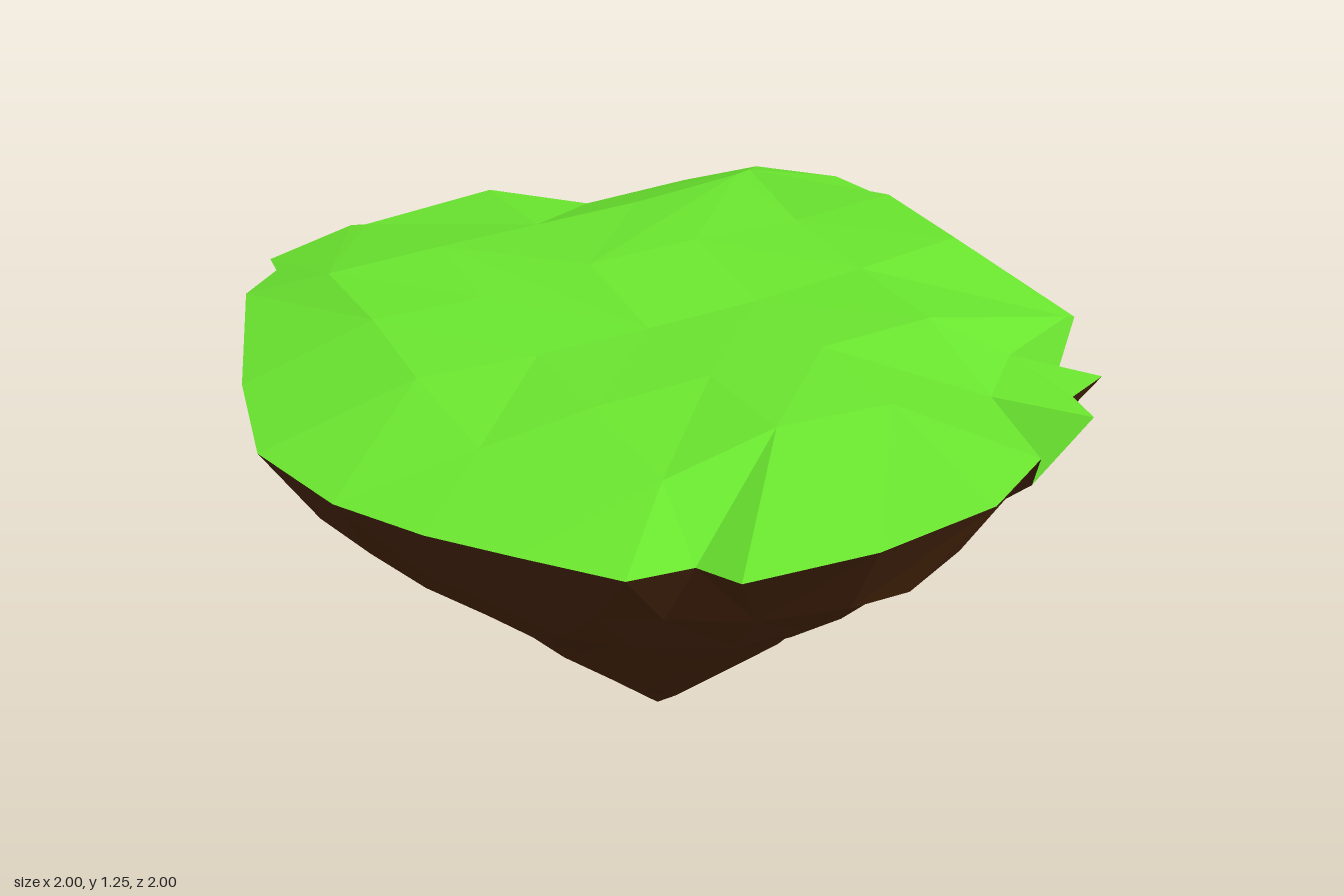
import * as THREE from 'three';

// Small seeded generator for the rock's roughness
function seeded(seed) {
  return () => {
    seed = (seed * 16807) % 2147483647;
    return seed / 2147483647;
  };
}

const TAU = Math.PI * 2;
const angleOf = (p) => (Math.atan2(p[2], p[0]) + TAU) % TAU;
const sorted = (ring) => ring.slice().sort((a, b) => angleOf(a) - angleOf(b));

// Joins two rings with any number of points, walking round both by angle
function stitch(outer, inner, up, out) {
  const a = sorted(outer), b = sorted(inner);
  const at = (r, i) => r[i % r.length];
  const turn = (r, i) => angleOf(at(r, i)) + (i >= r.length ? TAU : 0);
  const add = (p, q, r) => (up ? out.push(...p, ...q, ...r) : out.push(...p, ...r, ...q));
  let i = 0, j = 0;
  while (i < a.length || j < b.length) {
    const stepOuter = j >= b.length || (i < a.length && turn(a, i + 1) <= turn(b, j + 1));
    if (stepOuter) add(at(a, i), at(b, j), at(a, ++i));
    else add(at(a, i), at(b, j), at(b, ++j));
  }
}

// Flat-shaded mesh from a series of rings closed by one end point
function ringMesh(name, rings, end, up, color) {
  const pos = [];
  for (let k = 0; k + 1 < rings.length; k++) stitch(rings[k], rings[k + 1], up, pos);
  const last = sorted(rings[rings.length - 1]);
  last.forEach((p, i) => {
    const q = last[(i + 1) % last.length];
    pos.push(...(up ? [...p, ...end, ...q] : [...p, ...q, ...end]));
  });
  const geo = new THREE.BufferGeometry();
  geo.setAttribute('position', new THREE.Float32BufferAttribute(pos, 3));
  geo.computeVertexNormals();
  const mesh = new THREE.Mesh(geo, new THREE.MeshStandardMaterial({
    color, flatShading: true, side: THREE.DoubleSide,
  }));
  mesh.name = name;
  return mesh;
}

// Ragged edge shared by grass and rock: x, z and, where the turf differs, its height
const rim = [
  [-0.03, -1, 0.97], [0.26, -0.945, 1.03], [0.43, -0.91, 1.07], [0.61, -0.925, 1.09],
  [0.77, -0.79], [0.93, -0.62], [0.96, -0.47], [0.92, -0.27, 1.03], [1, 0.03, 0.97],
  [0.96, 0.29, 1.0], [0.97, 0.38], [0.83, 0.48, 0.99], [0.86, 0.62, 1.13], [0.75, 0.65, 1.12],
  [0.72, 0.76, 1.13], [0.58, 0.74, 0.98], [0.48, 0.87], [0.28, 0.975], [-0.03, 1],
  [-0.33, 0.96], [-0.36, 0.83, 1.12], [-0.52, 0.83, 1.14], [-0.68, 0.66], [-0.81, 0.5],
  [-0.93, 0.3], [-1, 0.03], [-0.93, -0.28], [-0.77, -0.72], [-0.67, -0.77, 1.17],
  [-0.65, -0.88], [-0.39, -0.975], [-0.27, -0.935, 1.02],
].map(([x, z, y = 1.15]) => [x, y, z]);

// Lip where the turf starts to drop to the rim
const lip = [
  [-0.03, 1.22, -0.86], [0.26, 1.12, -0.855], [0.68, 1.2, -0.68], [0.86, 1.245, -0.27],
  [0.855, 1.245, 0.03], [0.94, 1.16, 0.385], [0.71, 1.15, 0.46], [0.55, 1.15, 0.6],
  [0.27, 1.21, 0.6], [-0.03, 1.235, 0.6], [-0.32, 1.2, 0.62], [-0.6, 1.2, 0.32],
  [-0.62, 1.235, 0.03], [-0.6, 1.235, -0.28], [-0.6, 1.23, -0.57], [-0.36, 1.16, -0.94],
];

// Gentle bumps of the plateau
const plateau = [
  [-0.3, 1.235, -0.57], [-0.03, 1.235, -0.57], [0.26, 1.235, -0.57], [0.57, 1.25, -0.57],
  [0.57, 1.235, -0.27], [0.57, 1.225, 0.03], [0.57, 1.22, 0.32], [0.27, 1.22, 0.32],
  [-0.03, 1.225, 0.32], [-0.32, 1.225, 0.32], [-0.32, 1.215, 0.03], [-0.32, 1.23, -0.27],
];
const middle = [[-0.03, 1.25, -0.27], [0.27, 1.25, -0.27], [0.27, 1.21, 0.03], [-0.03, 1.21, 0.03]];

// Rock layers: height, radius, number of points
const layers = [
  [0.9, 0.85, 28], [0.77, 0.735, 24], [0.65, 0.615, 20], [0.54, 0.49, 20],
  [0.42, 0.395, 16], [0.29, 0.285, 12], [0.14, 0.14, 8],
];
const tip = [0.04, 0, -0.05];

// The rock swells towards +x and -z and is slightly square in plan
function rockRings() {
  const rand = seeded(41);
  const jitter = (s) => (rand() - 0.5) * s;
  return layers.map(([y, r, n]) => Array.from({ length: n }, (_, i) => {
    const a = ((i + jitter(0.4)) / n) * TAU;
    const swell = 0.09 * Math.max(0, Math.cos(a)) + 0.06 * Math.max(0, -Math.sin(a));
    const rr = r * (1 + swell - 0.04 * Math.abs(Math.sin(2 * a)) + jitter(0.05));
    const lean = 1 - y;
    return [
      tip[0] * lean + Math.cos(a) * rr,
      y + jitter(0.05) * Math.min(1, y * 2),
      tip[2] * lean + Math.sin(a) * rr,
    ];
  }));
}

export function createModel() {
  const island = new THREE.Group();
  island.name = 'floatingIsland';
  const turf = [rim, lip, plateau, middle];
  island.add(ringMesh('grassTop', turf, [0.12, 1.23, -0.12], true, 0x6ae52f));
  island.add(ringMesh('rockBase', [rim, ...rockRings()], tip, false, 0x4a260c));
  return island;
}
